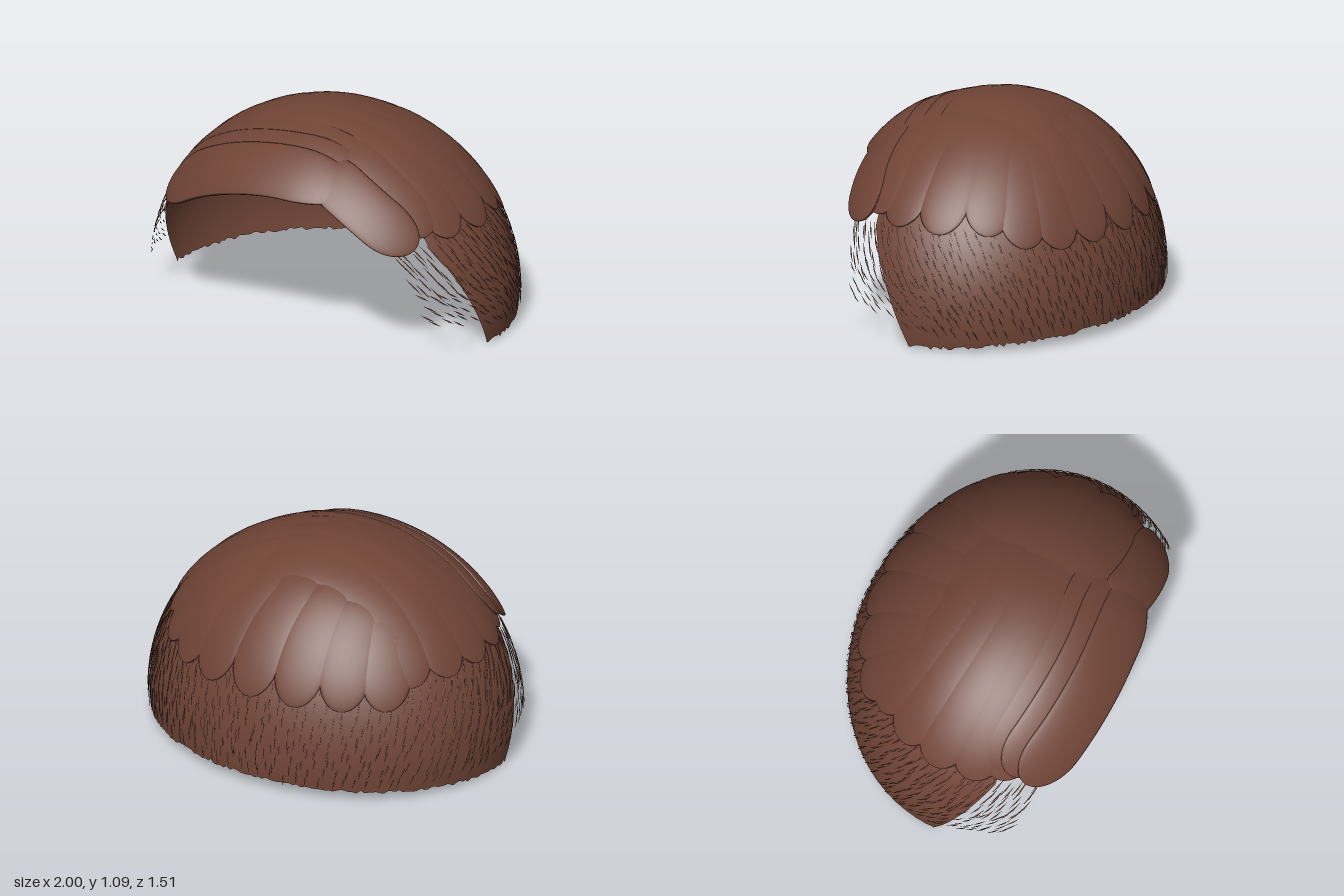
import * as THREE from 'three';

// Head ellipsoid that every part lies on
const C = new THREE.Vector3(0, 0.15, 0.1);
const R = new THREE.Vector3(1, 0.94, 0.85);

const hair = new THREE.MeshStandardMaterial({ color: 0x704436, side: THREE.DoubleSide });
hair.name = 'brown hair';

let seed = 7;
const rnd = () => (seed = (seed * 16807) % 2147483647) / 2147483647;

// Push a point radially onto the ellipsoid, scaled by k
function project(p, k = 1) {
  const d = p.clone().sub(C);
  const len = d.clone().divide(R).length();
  return d.multiplyScalar(k / len).add(C);
}
// Point on the upper half above plan position (x, z)
function onTop(x, z, k = 1) {
  const f = 1 - x * x - ((z - C.z) / R.z) ** 2;
  return project(new THREE.Vector3(x, C.y + R.y * Math.sqrt(Math.max(f, 0)), z), k);
}
// Point at height y and angle a measured from the back of the head
function onSide(a, y, k = 1) {
  const f = Math.sqrt(1 - ((y - C.y) / R.y) ** 2) * k;
  return new THREE.Vector3(f * R.x * Math.sin(a), y, C.z - f * R.z * Math.cos(a));
}

// Smooth mesh from point and index lists
function meshFrom(name, pos, idx) {
  const g = new THREE.BufferGeometry();
  g.setAttribute('position', new THREE.Float32BufferAttribute(pos, 3));
  g.setIndex(idx);
  g.computeVertexNormals();
  const m = new THREE.Mesh(g, hair);
  m.name = name;
  return m;
}
// Smooth mesh from a rows x cols grid of points
function gridMesh(name, rows, cols, at, wrap = false) {
  const pos = [], idx = [];
  const stride = wrap ? cols : cols + 1;
  for (let i = 0; i <= rows; i++)
    for (let j = 0; j < stride; j++) pos.push(...at(i / rows, j / cols).toArray());
  for (let i = 0; i < rows; i++)
    for (let j = 0; j < cols; j++) {
      const a = i * stride + j, b = i * stride + ((j + 1) % stride);
      idx.push(a, a + stride, b, b, a + stride, b + stride);
    }
  return meshFrom(name, pos, idx);
}

// A flat, round-tipped lock lying on the head along plan points [x, z];
// its root sinks into the crown
function lock(name, pts, w0, lift = 1, out = 0.01, inner = 0.06) {
  const curve = new THREE.CatmullRomCurve3(pts.map(([x, z]) => onTop(x, z)));
  const tip = Math.min(0.6, (1.5 * w0) / curve.getLength());
  return gridMesh(name, 40, 20, (u, v) => {
    const s = Math.sin((u * Math.PI) / 2);
    const p = project(curve.getPointAt(s));
    const t = curve.getTangentAt(s);
    const n = p.clone().sub(C).divide(R).divide(R).normalize();
    const side = t.cross(n).normalize();
    const end = s > 1 - tip ? Math.sqrt(Math.max(0, 1 - ((s - 1 + tip) / tip) ** 2)) : 1;
    const root = THREE.MathUtils.smoothstep(s, -0.12, 0.3);
    const a = v * Math.PI * 2, h = Math.sin(a);
    const q = p.addScaledVector(side, w0 * end * (0.3 + 0.7 * root) * Math.cos(a));
    const k = 0.98 + (lift - 0.98) * root;
    return project(q, k).addScaledVector(n, h * end * (h > 0 ? out : inner));
  }, true);
}

// Front edge of the shaved shell at height y
const frontZ = (y) => Math.min(0.4, 0.13 + 0.48 * Math.max(0, y - 0.02));
const edgeAngle = (y, z) => {
  const f = Math.sqrt(1 - ((y - C.y) / R.y) ** 2);
  return Math.acos(THREE.MathUtils.clamp((C.z - z) / (R.z * f), -1, 1));
};

function shavedShell() {
  const cols = 150;
  const ragged = Array.from({ length: cols + 1 }, () => (rnd() - 0.5) * 0.02);
  return gridMesh('shavedSides', 28, cols, (u, v) => {
    const side = v * 2 - 1;
    const back = Math.max(0, Math.cos(side * 1.7));
    const low = 0.022 + 0.053 * back + ragged[Math.round(v * cols)];
    const y = low + (0.85 - low) * u;
    return onSide(side * edgeAngle(y, frontZ(y)), y, 0.99);
  });
}

// Short thin spikes combed down and backwards, running past the front edge
function stubble() {
  const pos = [], idx = [];
  for (let row = 0; row < 11; row++) {
    const y0 = 0.17 + row * 0.049;
    const limit = edgeAngle(y0, y0 > 0.2 && y0 < 0.64 ? 0.5 + 0.15 * y0 : frontZ(y0));
    for (let a0 = -limit; a0 <= limit; a0 += 0.066) {
      const a = a0 + (rnd() - 0.5) * 0.04, y = y0 + (rnd() - 0.5) * 0.03;
      const sweep = Math.abs(Math.sin(a / 2));
      const flat = a * a > 2.2 && y < 0.4 ? 0.5 : 1;
      const da = -Math.sign(a) * 0.1 * sweep, dy = -0.09 * flat;
      const p = onSide(a, y, 0.994), q = onSide(a + da, y + dy, 1.0);
      const m = onSide(a + da / 2, y + dy / 2, 1.0);
      const n = m.clone().sub(C).normalize();
      const s = q.clone().sub(p).cross(n).setLength(0.0038);
      const k = pos.length / 3;
      pos.push(...p.toArray(), ...m.clone().add(s).toArray(), ...q.toArray(), ...m.sub(s).toArray());
      idx.push(k, k + 1, k + 2, k, k + 2, k + 3);
    }
  }
  return meshFrom('stubble', pos, idx);
}

export function createModel() {
  const model = new THREE.Group();
  model.name = 'undercutHair';
  model.add(shavedShell(), stubble());

  // Crown under the locks
  model.add(gridMesh('crown', 20, 64, (u, v) => {
    const a = v * Math.PI * 2;
    return onTop(0.7 * u * Math.sin(a), 0.08 + 0.5 * u * Math.cos(a), 0.997);
  }, true));

  // Locks swept from the parting across the top
  const swept = [[-0.72, -0.33], [-0.83, -0.14], [-0.875, 0.06], [-0.855, 0.26], [-0.79, 0.4]];
  swept.forEach(([x, z], i) => {
    const start = -0.2 + i * 0.14;
    model.add(lock('sweptLock', [[0.4, start - 0.04], [-0.1, start + 0.06], [-0.5, (start + z) / 2 + 0.05], [x, z]], 0.135));
  });

  // Locks falling to the other side of the parting
  const sideTips = [[0.7, -0.4], [0.793, -0.22], [0.873, 0.02], [0.855, 0.25]];
  sideTips.forEach(([x, z], i) => {
    model.add(lock('sideLock', [[0.15, -0.16 + i * 0.13], [0.52, z * 0.8 + 0.03], [x, z]], 0.135));
  });

  // Locks down the back
  const backTips = [[0.54, -0.54], [0.34, -0.634], [0.08, -0.686], [-0.18, -0.674], [-0.42, -0.603], [-0.62, -0.487]];
  backTips.forEach(([x, z]) => {
    model.add(lock('backLock', [[x * 0.55 - 0.1, -0.12], [x * 0.85 - 0.03, z * 0.68], [x, z]], 0.135));
  });

  // Fringe: overlapping locks across the brow, and a short one beyond the parting
  model.add(
    lock('fringeBack', [[0.5, 0.34], [0, 0.45], [-0.42, 0.44], [-0.76, 0.38]], 0.15, 1.005),
    lock('fringeMiddle', [[0.5, 0.42], [0, 0.54], [-0.42, 0.53], [-0.74, 0.45]], 0.15, 1.016),
    lock('fringeFront', [[0.5, 0.47], [0.28, 0.58], [0, 0.625], [-0.42, 0.615], [-0.72, 0.53]], 0.155, 1.03),
    lock('fringeSideBack', [[0.15, 0.36], [0.5, 0.41], [0.79, 0.37]], 0.14, 1.003),
    lock('fringeSide', [[0.12, 0.52], [0.44, 0.56], [0.64, 0.53], [0.77, 0.465]], 0.14, 1.016)
  );
  return model;
}
